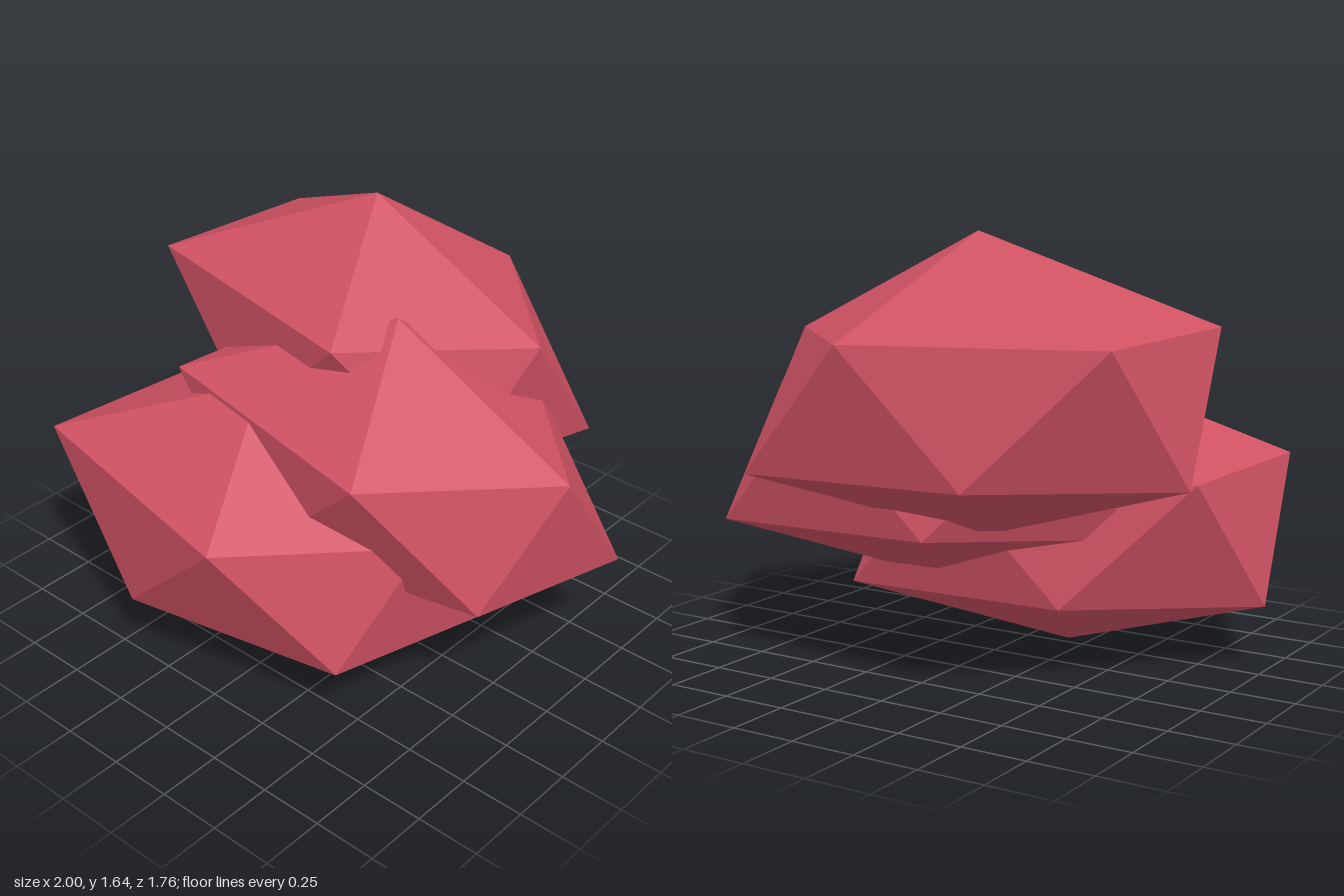
import * as THREE from 'three';

// One faceted stone: an irregular 20-sided block made of two offset rings of five corners and two poles
function createStoneGeometry() {
  const top = [-0.16, 1.1, 0.29];
  const bottom = [-0.16, 0, 0.3];
  const upper = [
    [0.62, 0.72, 0.29], [0.09, 0.73, -0.23], [-0.88, 0.75, -0.05],
    [-0.93, 0.77, 0.66], [0.13, 0.765, 0.88],
  ];
  const lower = [
    [0.62, 0.21, -0.08], [-0.4, 0.26, -0.2], [-1, 0.25, 0.29],
    [-0.4, 0.265, 0.78], [0.48, 0.26, 0.6],
  ];
  const points = [];
  for (let i = 0; i < 5; i++) {
    const j = (i + 1) % 5;
    points.push(
      top, upper[i], upper[j],          // cap
      upper[i], lower[i], upper[j],     // side pointing down
      lower[i], lower[j], upper[j],     // side pointing up
      bottom, lower[j], lower[i],       // base
    );
  }
  const geometry = new THREE.BufferGeometry();
  geometry.setAttribute('position', new THREE.Float32BufferAttribute(points.flat(), 3));
  geometry.computeVertexNormals();
  return geometry;
}

export function createModel() {
  const model = new THREE.Group();
  model.name = 'stoneCluster';

  const red = new THREE.MeshStandardMaterial({ color: 0xd05263, flatShading: true });
  red.name = 'roseRed';

  // Three equal stones overlapping in a rising stack
  const geometry = createStoneGeometry();
  const stones = [
    ['frontStone', 0, 0, 0],
    ['middleStone', 0.38, 0.27, -0.325],
    ['backStone', 0, 0.54, -0.65],
  ];
  for (const [name, x, y, z] of stones) {
    const stone = new THREE.Mesh(geometry, red);
    stone.name = name;
    stone.position.set(x, y, z);
    model.add(stone);
  }
  return model;
}
